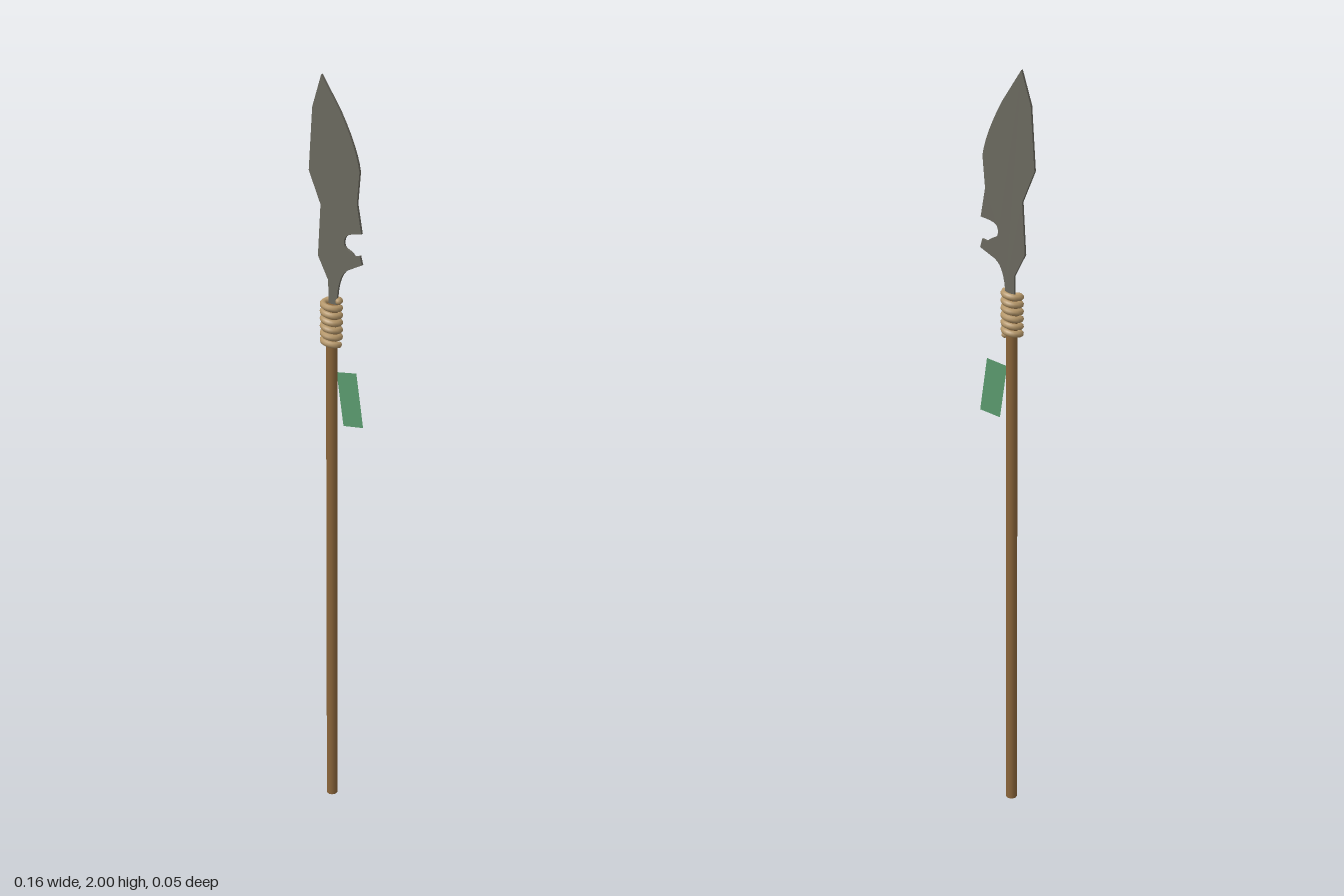
import * as THREE from 'three';

const material = (name, color, side = THREE.FrontSide) => {
  const m = new THREE.MeshStandardMaterial({ color, side });
  m.name = name;
  return m;
};

export function createModel() {
  const group = new THREE.Group();
  group.name = 'spear';
  const steel = material('dark steel', 0x6b695f);
  const wood = material('brown wood', 0x8a653a);
  const rope = material('tan rope', 0xb5976a);
  const cloth = material('green cloth', 0x5a9a6e, THREE.DoubleSide);
  const axisX = -0.013;

  const add = (name, geometry, mat) => {
    const mesh = new THREE.Mesh(geometry, mat);
    mesh.name = name;
    group.add(mesh);
    return mesh;
  };

  // Wooden shaft
  const shaft = add('shaft', new THREE.CylinderGeometry(0.0145, 0.0145, 1.43, 12), wood);
  shaft.position.set(axisX, 0.715, -0.002);

  // Flat blade with a hooked notch on its left edge
  const outline = new THREE.Shape();
  outline.moveTo(-0.024, 1.4);
  outline.lineTo(-0.002, 1.4);
  outline.lineTo(0, 1.45);
  outline.quadraticCurveTo(0.005, 1.51, 0.03, 1.526);
  outline.lineTo(0.072, 1.548);
  outline.lineTo(0.066, 1.57);
  outline.lineTo(0.05, 1.566);
  outline.bezierCurveTo(0.04, 1.582, 0.022, 1.575, 0.02, 1.594);
  outline.bezierCurveTo(0.02, 1.618, 0.035, 1.62, 0.07, 1.626);
  outline.lineTo(0.057, 1.7);
  outline.lineTo(0.064, 1.78);
  outline.quadraticCurveTo(0.056, 1.835, 0.008, 1.92);
  outline.lineTo(-0.045, 2);
  outline.lineTo(-0.071, 1.918);
  outline.lineTo(-0.082, 1.76);
  outline.lineTo(-0.048, 1.68);
  outline.lineTo(-0.056, 1.548);
  outline.lineTo(-0.026, 1.49);
  const blade = add('blade', new THREE.ExtrudeGeometry(outline,
    { depth: 0.007, bevelEnabled: false, curveSegments: 6 }), steel);
  blade.position.z = -0.012;

  // Rope coiled round the joint
  const turns = 6, steps = 12, points = [];
  for (let i = 0; i <= turns * steps; i++) {
    const a = (i / steps) * Math.PI * 2;
    points.push(new THREE.Vector3(axisX + 0.0215 * Math.cos(a),
      1.329 + 0.114 * i / (turns * steps), 0.0185 * Math.sin(a)));
  }
  const coil = new THREE.CatmullRomCurve3(points);
  add('ropeWrap', new THREE.TubeGeometry(coil, turns * 24, 0.0085, 8), rope);
  [points[0], points[points.length - 1]].forEach(p =>
    add('ropeEnd', new THREE.SphereGeometry(0.0085, 8, 6), rope).position.copy(p));

  // Hanging cloth tag
  const tag = new THREE.Shape([[-0.003, 1.25], [0.018, 1.108], [0.077, 1.117], [0.056, 1.26]]
    .map(([x, y]) => new THREE.Vector2(x, y)));
  add('clothTag', new THREE.ShapeGeometry(tag), cloth).position.z = -0.008;

  return group;
}
